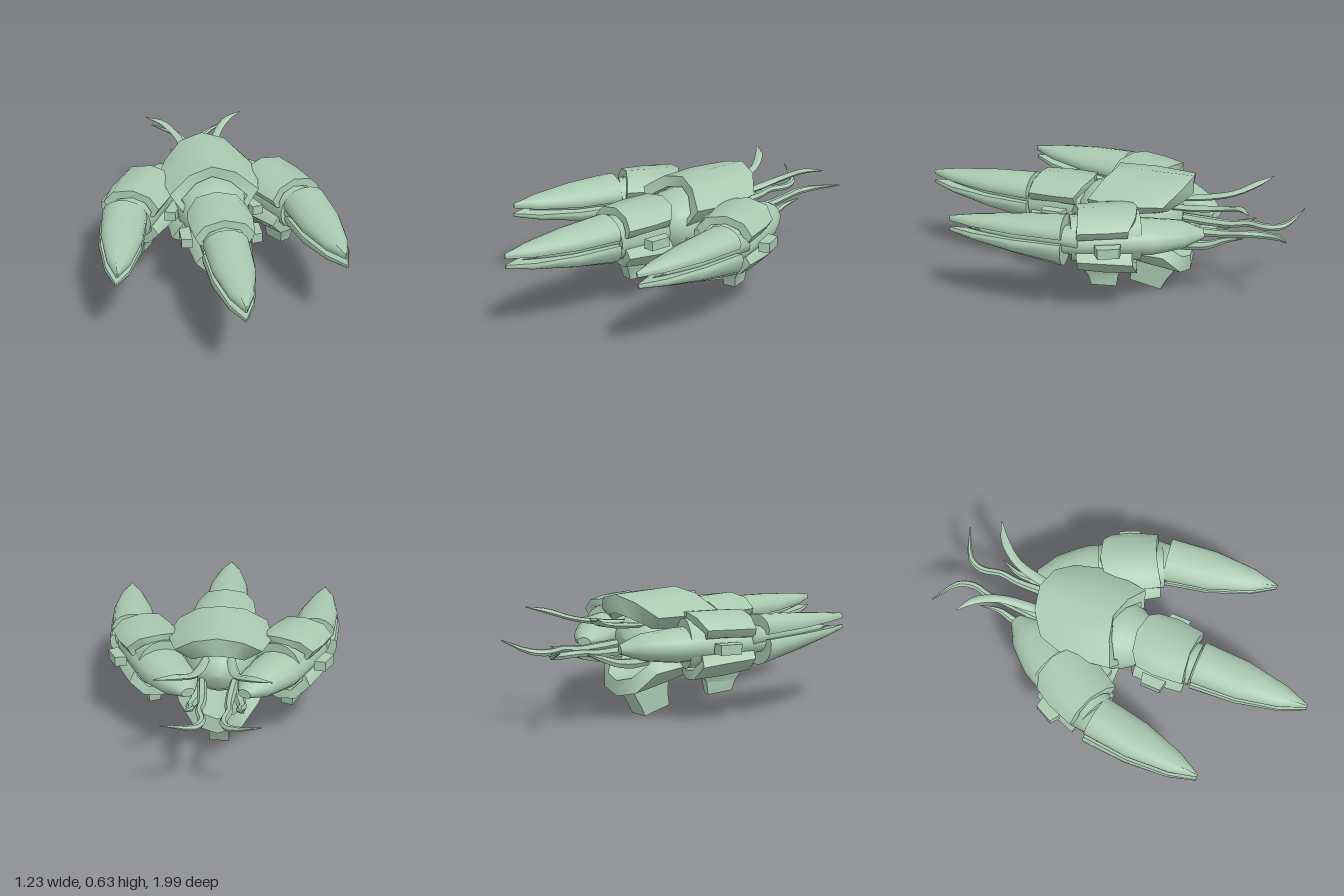
import * as THREE from 'three';
import { toCreasedNormals } from 'three/addons/utils/BufferGeometryUtils.js';

const hull = new THREE.MeshStandardMaterial({ color: 0xa9c9b0 });
hull.name = 'paleGreenHull';
const MID = 0.405; // height of the plane between upper and lower shells

// Skin a row of equal rings, cap both ends, and turn the faces outward
function loft(rings, crease = 0.5) {
  const m = rings[0].length, pts = rings.flat(), idx = [];
  for (let j = 0; j < rings.length - 1; j++)
    for (let i = 0; i < m; i++) {
      const a = j * m + i, b = j * m + (i + 1) % m;
      idx.push(a, b, b + m, a, b + m, a + m);
    }
  const e = (rings.length - 1) * m;
  for (let i = 0; i + 1 < m - 1 - i; i++) {
    const p = i, q = i + 1, r = m - 2 - i, s = m - 1 - i;
    idx.push(p, s, r, p, r, q, e + p, e + q, e + r, e + p, e + r, e + s);
  }
  const v = pts.map(p => new THREE.Vector3(...p));
  let volume = 0;
  for (let i = 0; i < idx.length; i += 3)
    volume += v[idx[i]].dot(v[idx[i + 1]].clone().cross(v[idx[i + 2]]));
  if (volume < 0) idx.reverse();
  const g = new THREE.BufferGeometry();
  g.setAttribute('position', new THREE.Float32BufferAttribute(pts.flat(), 3));
  g.setIndex(idx);
  return toCreasedNormals(g, crease);
}

function part(name, geometry, parent) {
  const mesh = new THREE.Mesh(geometry, hull);
  mesh.name = name;
  parent.add(mesh);
  return mesh;
}

// Thick curved plate from half profiles that run from the rim to the middle,
// with one inner scale for each profile
function plate(halves, inside) {
  return loft(halves.map((h, j) => {
    const outer = [...h, ...h.slice(0, -1).reverse().map(([x, y, z]) => [-x, y, z])];
    const inner = outer.map(([x, y, z]) => [x * inside[j], MID + (y - MID) * inside[j], z]).reverse();
    return [...outer, ...inner];
  }), 0.85);
}

// Round tube along a smooth path, radius given at each path point
function taper(path, radii, sides, steps, flat = 1) {
  const curve = new THREE.CatmullRomCurve3(path.map(p => new THREE.Vector3(...p)));
  const rings = [];
  for (let j = 0; j <= steps; j++) {
    const t = j / steps, f = t * (radii.length - 1), k = Math.min(Math.floor(f), radii.length - 2);
    const r = THREE.MathUtils.lerp(radii[k], radii[k + 1], f - k);
    const c = curve.getPoint(t), d = curve.getTangent(t);
    const side = new THREE.Vector3(0, 1, 0).cross(d).normalize(), up = d.clone().cross(side);
    rings.push(Array.from({ length: sides }, (_, i) => {
      const a = i / sides * Math.PI * 2;
      return c.clone().addScaledVector(side, r * Math.cos(a)).addScaledVector(up, r * flat * Math.sin(a)).toArray();
    }));
  }
  return loft(rings, 0.9);
}

// Block through stacked levels: [halfX, zBack, zFront, yBack, yFront]
function block(...levels) {
  return loft(levels.map(([x, z0, z1, y0, y1 = y0]) => [[-x, y0, z0], [x, y0, z0], [x, y1, z1], [-x, y1, z1]]), 0.3);
}

// One half of a pointed nose: [z, halfWidth, rimY, baseY, crownY]
function noseHalf(rows) {
  return loft(rows.map(([z, w, base, rim, crown]) => {
    const ring = [[w * 0.93, base, z]];
    for (let i = 0; i <= 8; i++) {
      const a = i / 8 * Math.PI;
      ring.push([w * Math.cos(a), rim + (crown - rim) * Math.sin(a), z]);
    }
    ring.push([-w * 0.93, base, z]);
    return ring;
  }), 0.75);
}

// Nose with its back at z = 0
function makeNose() {
  const g = new THREE.Group();
  part('upperNoseShell', noseHalf([
    [0, 0.115, 0.43, 0.455, 0.535], [0.24, 0.105, 0.437, 0.458, 0.52],
    [0.46, 0.06, 0.447, 0.464, 0.499], [0.59, 0.004, 0.455, 0.469, 0.481]]), g);
  part('lowerNoseShell', noseHalf([
    [0, 0.12, 0.405, 0.385, 0.28], [0.24, 0.108, 0.41, 0.393, 0.325],
    [0.46, 0.062, 0.416, 0.402, 0.372], [0.59, 0.004, 0.422, 0.412, 0.402]]), g);
  const core = new THREE.LatheGeometry([[0, -0.08], [0.1, -0.08], [0.09, 0.02], [0.07, 0.25], [0, 0.5]]
    .map(p => new THREE.Vector2(...p)), 12);
  part('noseCore', core.rotateX(Math.PI / 2).scale(1, 0.6, 1).translate(0, 0.425, 0), g);
  return g;
}

// Armoured collar centred on z = 0, with side tabs and a foot
function makeCollar() {
  const g = new THREE.Group();
  part('upperCollarShell', plate([
    [[0.13, 0.445, -0.1], [0.155, 0.49, -0.1], [0.105, 0.545, -0.14], [0, 0.56, -0.16]],
    [[0.14, 0.45, 0], [0.165, 0.49, 0], [0.11, 0.545, 0], [0, 0.562, 0]],
    [[0.125, 0.44, 0.15], [0.15, 0.485, 0.15], [0.1, 0.54, 0.14], [0, 0.56, 0.13]]], [0.74, 0.74, 0.74]), g);
  part('lowerCollarShell', plate([
    [[0.13, 0.36, -0.12], [0.155, 0.31, -0.12], [0.09, 0.24, -0.15], [0, 0.225, -0.16]],
    [[0.14, 0.365, 0], [0.16, 0.325, 0], [0.09, 0.25, 0], [0, 0.24, 0]],
    [[0.12, 0.37, 0.15], [0.145, 0.335, 0.15], [0.085, 0.27, 0.14], [0, 0.26, 0.13]]], [0.74, 0.74, 0.74]), g);
  const core = new THREE.CylinderGeometry(0.112, 0.125, 0.34, 16).rotateX(Math.PI / 2);
  part('collarCore', core.translate(0, MID, 0), g);
  for (const s of [-1, 1]) {
    const tab = block([0.05, -0.065, 0.065, 0.06], [0.05, -0.05, 0.055, 0.115]);
    tab.rotateZ(-s * Math.PI / 2).scale(1, 0.5, 1).translate(s * 0.09, 0.4, 0);
    part('sideTab', tab, g);
  }
  part('collarFoot', block([0.06, -0.1, 0.11, 0.265], [0.036, -0.065, 0.082, 0.21],
    [0.03, -0.055, 0.07, 0.145, 0.16]), g);
  return g;
}

export function createModel() {
  const model = new THREE.Group();
  model.name = 'shelledCraft';

  // Central body with its shells and landing foot
  const body = new THREE.LatheGeometry([[0, -0.42], [0.09, -0.4], [0.14, -0.33], [0.175, -0.22], [0.195, -0.08],
    [0.185, -0.01], [0.16, 0.05], [0.11, 0.12], [0, 0.14]].map(p => new THREE.Vector2(...p)), 20);
  part('centralBody', body.rotateX(Math.PI / 2).scale(1, 0.85, 1).translate(0, MID, 0), model);
  part('upperMainShell', plate([
    [[0.165, 0.435, 0.03], [0.23, 0.53, 0.01], [0.12, 0.61, -0.04], [0, 0.635, -0.07]],
    [[0.2, 0.46, -0.18], [0.262, 0.53, -0.22], [0.14, 0.61, -0.24], [0, 0.635, -0.24]],
    [[0.18, 0.48, -0.31], [0.215, 0.53, -0.38], [0.12, 0.605, -0.45], [0, 0.635, -0.475]]], [0.75, 0.68, 0.6]), model);
  part('lowerMainShell', plate([
    [[0.165, 0.37, 0.03], [0.225, 0.28, 0.02], [0.12, 0.215, -0.01], [0, 0.185, -0.05]],
    [[0.19, 0.35, -0.2], [0.235, 0.27, -0.22], [0.13, 0.18, -0.24], [0, 0.152, -0.25]],
    [[0.17, 0.32, -0.32], [0.2, 0.25, -0.38], [0.12, 0.15, -0.45], [0, 0.12, -0.47]]], [0.75, 0.74, 0.72]), model);
  part('mainFoot', block([0.052, -0.44, -0.11, 0.2], [0.052, -0.39, -0.165, 0.11, 0.15],
    [0.05, -0.355, -0.165, 0.06, 0.08], [0.05, -0.325, -0.155, 0, 0.03]), model);

  // Middle arm
  const frontCollar = makeCollar();
  frontCollar.name = 'frontCollar';
  frontCollar.position.z = 0.22;
  const frontNose = makeNose();
  frontNose.name = 'frontNose';
  frontNose.position.z = 0.4;
  model.add(frontCollar, frontNose);

  for (const s of [-1, 1]) {
    const side = s > 0 ? 'left' : 'right';
    const flip = path => path.map(([x, y, z]) => [x * s, y, z]);

    // Curved side arm
    part(side + 'ArmBody', taper(flip([[0.135, 0.39, -0.565], [0.185, 0.395, -0.47], [0.275, 0.4, -0.33],
      [0.36, MID, -0.16], [0.44, MID, -0.01], [0.475, MID, 0.06]]), [0.035, 0.1, 0.13, 0.13, 0.115, 0.09], 14, 15, 0.65), model);
    const collar = makeCollar();
    collar.name = side + 'Collar';
    collar.position.set(s * 0.365, 0, -0.13);
    collar.rotation.y = s * 0.45;
    // Side nose, rolled outward about its own axis
    const nose = makeNose();
    nose.name = side + 'Nose';
    nose.rotation.set(0, s * 0.145, s * 0.16);
    nose.position.set(s * 0.537, 0.005, 0.025);
    model.add(collar, nose);

    // Trailing tendrils
    part(side + 'LongTendril', taper(flip([[0.08, 0.37, -0.4], [0.07, 0.37, -0.53], [0.065, 0.375, -0.66],
      [0.07, 0.39, -0.75], [0.05, 0.39, -0.85], [0.08, 0.4, -0.93], [0.225, 0.445, -1.0]]),
      [0.022, 0.024, 0.02, 0.018, 0.019, 0.016, 0.003], 6, 18), model);
    part(side + 'UpperTendril', taper(flip([[0.06, 0.475, -0.34], [0.08, 0.495, -0.52], [0.11, 0.525, -0.66],
      [0.18, 0.565, -0.76], [0.27, 0.58, -0.82]]), [0.02, 0.026, 0.022, 0.022, 0.003], 6, 14, 0.6), model);
    part(side + 'LowerTendril', taper(flip([[0.1, 0.3, -0.36], [0.11, 0.305, -0.47], [0.125, 0.325, -0.58],
      [0.115, 0.36, -0.67], [0.14, 0.395, -0.77]]), [0.024, 0.028, 0.022, 0.016, 0.003], 6, 14), model);
  }
  return model;
}
